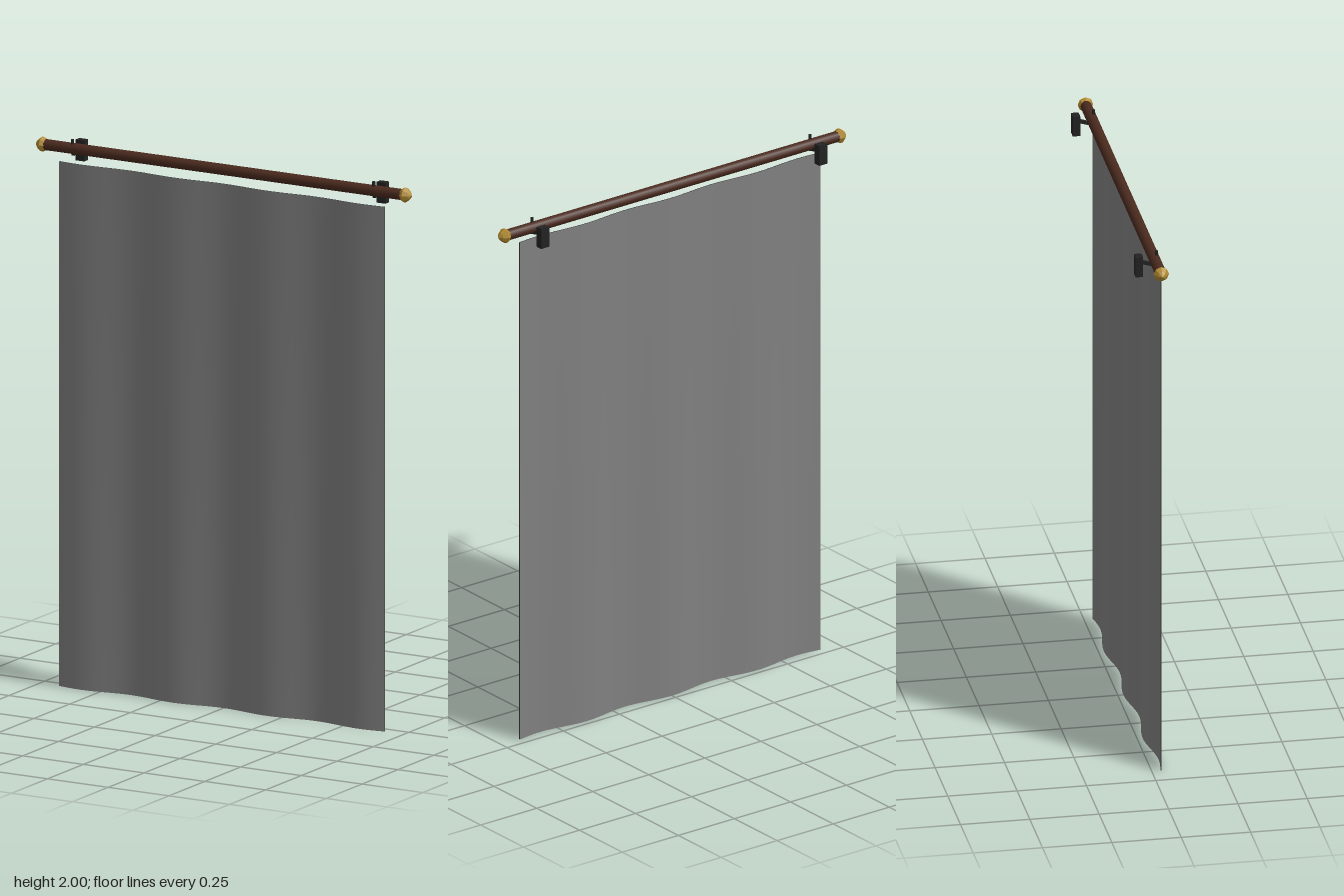
import * as THREE from 'three';

const mat = (name, color, extra = {}) => Object.assign(new THREE.MeshStandardMaterial({ color, ...extra }), { name });

export function createModel() {
  const wood = mat('dark wood', 0x4a2a1e);
  const brass = mat('brass', 0xb08a30, { flatShading: true });
  const iron = mat('black iron', 0x222222);
  const cloth = mat('grey cloth', 0x808080);
  const hem = mat('dark hem', 0x3a3a3a);

  const root = new THREE.Group();
  root.name = 'curtain';
  const add = (parent, name, geo, material, x, y, z) => {
    const mesh = new THREE.Mesh(geo, material);
    mesh.name = name;
    mesh.position.set(x, y, z);
    parent.add(mesh);
    return mesh;
  };
  const rodY = 1.965, rodZ = 0.02;

  // Horizontal rod
  add(root, 'rod', new THREE.CylinderGeometry(0.02, 0.02, 1.49, 16).rotateZ(Math.PI / 2), wood, 0, rodY, rodZ);

  // Faceted finials and wall brackets, mirrored
  const finialProfile = [[0, -0.012], [0.02, -0.012], [0.028, 0.003], [0.016, 0.02], [0, 0.031]]
    .map(([r, y]) => new THREE.Vector2(r, y));
  for (const side of [-1, 1]) {
    const finial = add(root, side > 0 ? 'leftFinial' : 'rightFinial',
      new THREE.LatheGeometry(finialProfile, 8), brass, side * 0.744, rodY, rodZ);
    finial.rotation.z = -side * Math.PI / 2;

    const bracket = new THREE.Group();
    bracket.name = side > 0 ? 'leftBracket' : 'rightBracket';
    bracket.position.x = side * 0.62;
    root.add(bracket);
    add(bracket, 'wallPlate', new THREE.BoxGeometry(0.036, 0.076, 0.027), iron, 0, 1.948, -0.0385);
    const arm = add(bracket, 'arm', new THREE.BoxGeometry(0.012, 0.012, 0.055), iron, 0, 1.953, -0.002);
    arm.rotation.x = 0.3;
    add(bracket, 'pin', new THREE.CylinderGeometry(0.006, 0.006, 0.05, 8), iron, 0, 1.975, 0.026);
  }

  // Thin hanging cloth whose waves deepen towards the hem
  const width = 1.34, height = 1.915;
  const geo = new THREE.BoxGeometry(width, height, 0.004, 84, 24, 1).translate(0, height / 2, 0);
  const pos = geo.attributes.position;
  for (let i = 0; i < pos.count; i++) {
    const wave = Math.sin((pos.getX(i) / width + 0.5) * 7 * Math.PI);
    const depth = 0.006 + 0.005 * (1 - pos.getY(i) / height);
    pos.setZ(i, pos.getZ(i) + 0.033 + depth * wave);
  }
  geo.computeVertexNormals();
  add(root, 'cloth', geo, [hem, hem, hem, hem, cloth, cloth], 0, 0, 0);

  return root;
}
